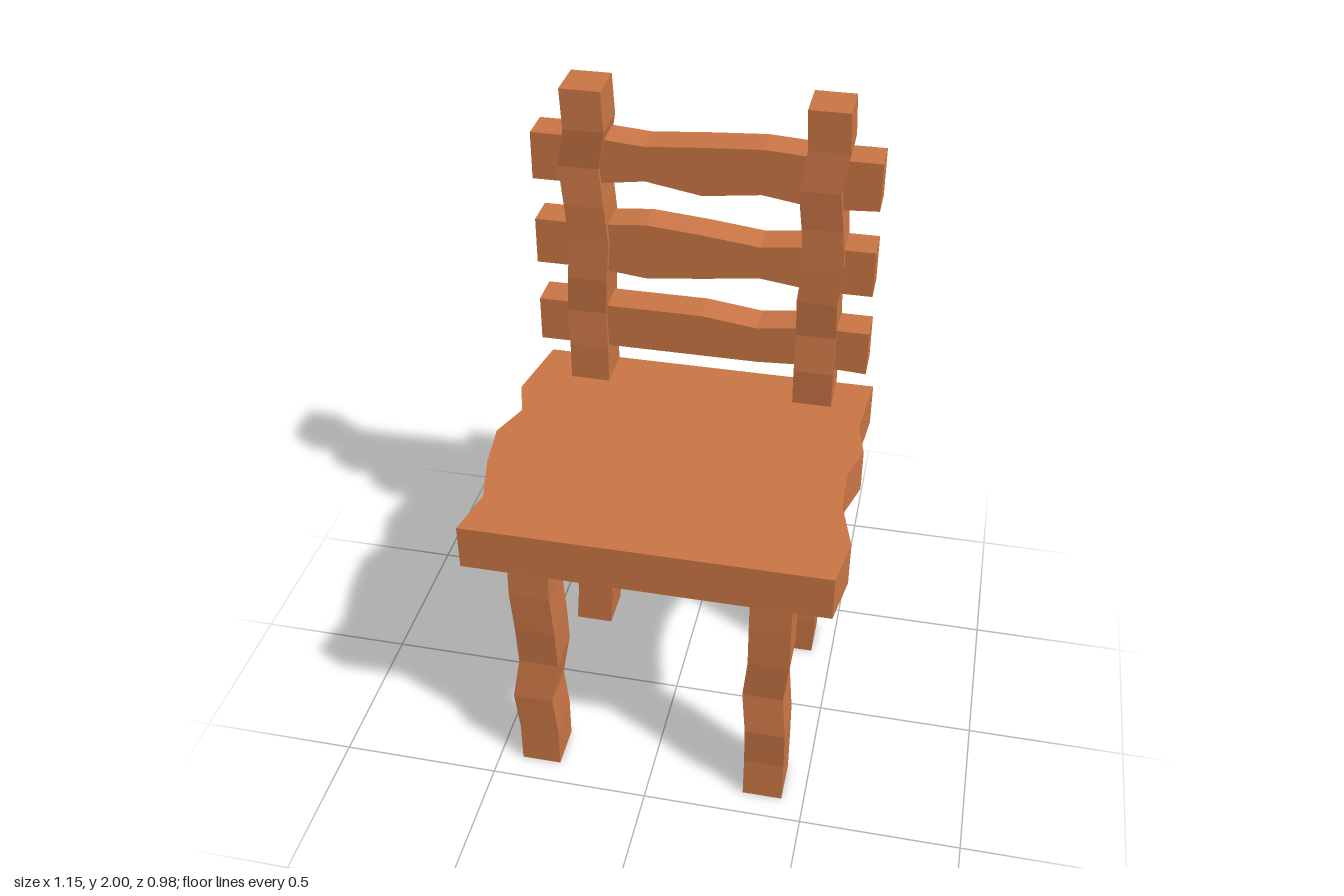
import * as THREE from 'three';

const wood = new THREE.MeshStandardMaterial({ color: 0xcc7746, flatShading: true });
wood.name = 'warm wood';

// Square timber whose evenly spaced cross-sections are nudged by [dx, dz] hundredths
function timber(name, x, z, y0, y1, w, d, nudges) {
  const n = nudges.length - 1;
  const geo = new THREE.BoxGeometry(w, 1, d, 1, n, 1);
  const p = geo.attributes.position;
  for (let i = 0; i < p.count; i++) {
    const t = p.getY(i) + 0.5;
    const [dx, dz] = nudges[Math.round(t * n)];
    p.setXYZ(i, x + p.getX(i) + dx / 100, y0 + t * (y1 - y0), z + p.getZ(i) + dz / 100);
  }
  const mesh = new THREE.Mesh(geo, wood);
  mesh.name = name;
  return mesh;
}

// Flat board cut to a wavy outline
function board(name, points, depth) {
  const shape = new THREE.Shape(points.map(([a, b]) => new THREE.Vector2(a, b)));
  const geo = new THREE.ExtrudeGeometry(shape, { depth, bevelEnabled: false });
  const mesh = new THREE.Mesh(geo, wood);
  mesh.name = name;
  return mesh;
}

export function createModel() {
  const chair = new THREE.Group();
  chair.name = 'rusticChair';

  // Seat: straight front and back, wavy sides
  const zs = [-0.49, -0.25, -0.125, 0, 0.16, 0.325, 0.485];
  const rightX = [-0.53, -0.57, -0.53, -0.575, -0.555, -0.515, -0.545];
  const leftX = [0.55, 0.53, 0.56, 0.525, 0.53, 0.575, 0.55];
  const outline = [
    ...zs.map((z, i) => [rightX[i], -z]),
    ...zs.map((z, i) => [leftX[i], -z]).reverse(),
  ];
  const seat = board('seat', outline, 0.143);
  seat.rotation.x = -Math.PI / 2;
  seat.position.y = 0.857;
  chair.add(seat);

  // Legs
  const legs = [
    ['frontRightLeg', -0.3625, 0.35, [[0, 0], [0, 0], [-1.2, 0.5], [1, -1], [0.8, 0], [0, 0.5], [0, 0]]],
    ['frontLeftLeg', 0.3675, 0.35, [[0, 0], [0, -0.5], [0, 0.5], [-1.4, -1], [0, 0], [0, 0.3], [0, 0]]],
    ['backRightLeg', -0.3625, -0.34, [[0, 0], [1, 0], [0, 0.5], [-0.5, 0], [0.5, -1], [0, 0], [0, 0]]],
    ['backLeftLeg', 0.3675, -0.34, [[0, 0], [0.5, 0.5], [-0.8, 0], [-1, 0], [-1, -1], [0, 0], [0, 0]]],
  ];
  for (const [name, x, z, nudges] of legs) chair.add(timber(name, x, z, 0, 0.857, 0.125, 0.14, nudges));

  // Back posts
  const posts = [
    ['rightBackPost', -0.3625, [[0, 0], [0, 0], [-0.5, -0.8], [0.3, 0.3], [1.1, 0], [0, 0], [-1.5, -0.8], [0.8, 0.4], [0, 0]]],
    ['leftBackPost', 0.3675, [[0, 0], [0, 0.8], [0, -0.8], [-0.3, 0.3], [1, 0.3], [0, 0], [-1.3, 0.8], [0.6, 0], [0, 0]]],
  ];
  for (const [name, x, nudges] of posts) chair.add(timber(name, x, -0.4175, 1, 2, 0.125, 0.143, nudges));

  // Back slats: upper and lower edge heights along x
  const xs = [-0.525, -0.35, -0.175, 0, 0.18, 0.355, 0.53];
  const slats = [
    ['lowerSlat', [1.273, 1.273, 1.273, 1.273, 1.25, 1.273, 1.273], [1.126, 1.126, 1.126, 1.126, 1.126, 1.136, 1.126]],
    ['middleSlat', [1.557, 1.557, 1.573, 1.558, 1.537, 1.557, 1.557], [1.407, 1.407, 1.388, 1.407, 1.43, 1.407, 1.407]],
    ['upperSlat', [1.846, 1.846, 1.832, 1.846, 1.857, 1.846, 1.846], [1.695, 1.695, 1.72, 1.69, 1.712, 1.685, 1.695]],
  ];
  for (const [name, top, bottom] of slats) {
    const edge = [...xs.map((x, i) => [x, bottom[i]]), ...xs.map((x, i) => [x, top[i]]).reverse()];
    const slat = board(name, edge, 0.11);
    slat.position.z = -0.475;
    chair.add(slat);
  }

  return chair;
}
